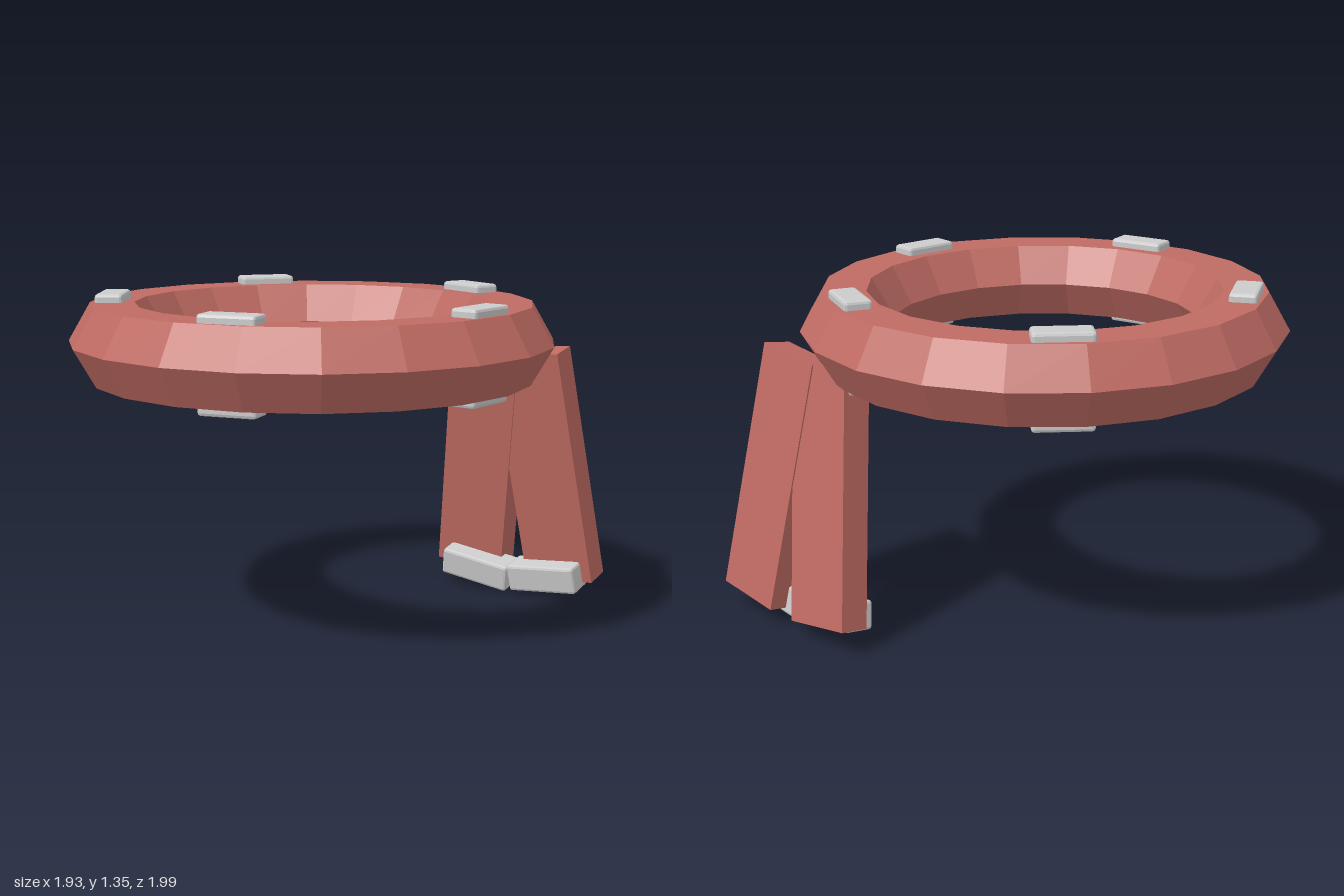
import * as THREE from 'three';
import { RoundedBoxGeometry } from 'three/addons/geometries/RoundedBoxGeometry.js';

const red = new THREE.MeshStandardMaterial({ color: 0xbf6b63, flatShading: true });
const grey = new THREE.MeshStandardMaterial({ color: 0xcccccc, flatShading: true });
const rad = THREE.MathUtils.degToRad;

function addMesh(parent, name, geometry, material, x, y, z) {
  const mesh = new THREE.Mesh(geometry, material);
  mesh.name = name;
  mesh.position.set(x, y, z);
  parent.add(mesh);
  return mesh;
}

// Hanging slab with a grey clasp across the front of its lower end
function makeTail(name, x, z, tilt, claspOffset) {
  const tail = new THREE.Group();
  tail.name = name;
  tail.position.set(x, 0.57, z);
  tail.rotation.set(rad(10.5), 0, rad(tilt));
  addMesh(tail, 'strip', new THREE.BoxGeometry(0.31, 1.02, 0.122), red, 0, 0, 0);
  addMesh(tail, 'clasp', new RoundedBoxGeometry(0.315, 0.118, 0.13, 1, 0.012), grey,
    claspOffset, -0.475, 0.08);
  return tail;
}

export function createModel() {
  const model = new THREE.Group();
  model.name = 'wreath';

  // Six-sided ring lying flat
  const wreath = new THREE.Group();
  wreath.name = 'ringAssembly';
  wreath.position.set(0, 1.16, 0.025);
  model.add(wreath);
  const ringGeometry = new THREE.TorusGeometry(0.79, 0.175, 6, 20).rotateX(Math.PI / 2);
  addMesh(wreath, 'ring', ringGeometry, red, 0, 0, 0);

  // Five studs running through the ring, showing above and below
  const studGeometry = new RoundedBoxGeometry(0.11, 0.366, 0.23, 1, 0.012);
  for (let i = 0; i < 5; i++) {
    const a = rad(5 + i * 72);
    const stud = addMesh(wreath, 'stud', studGeometry, grey, Math.cos(a) * 0.795, 0.002, Math.sin(a) * 0.795);
    stud.rotation.y = -a;
  }

  // Two splayed tails hanging behind the ring
  model.add(makeTail('innerTail', 0.32, -0.836, -8.6, 0.065));
  model.add(makeTail('outerTail', 0.63, -0.842, 5.8, -0.045));
  return model;
}
